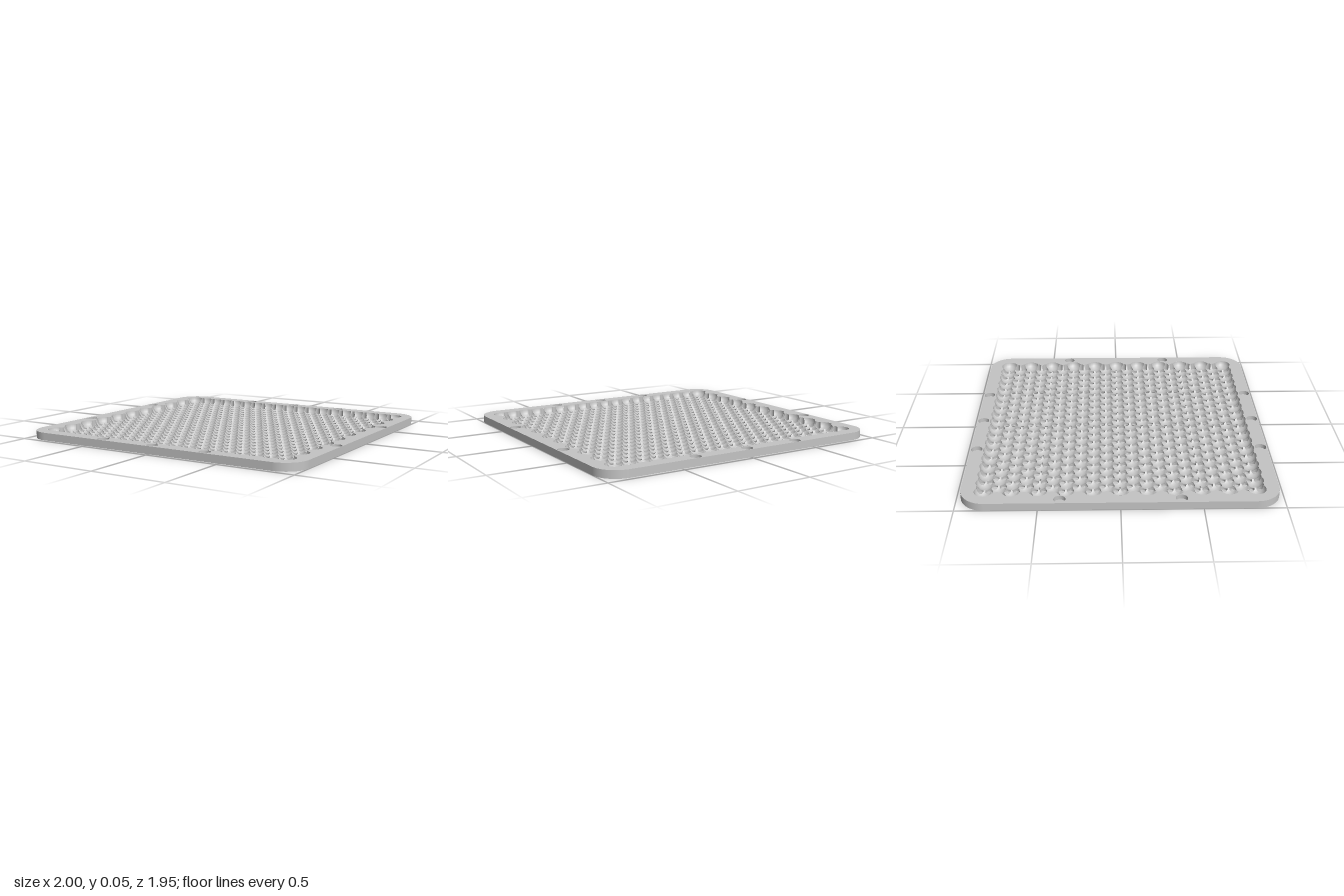
import * as THREE from 'three';

// Plate and lattice sizes
const HX = 1, HZ = 0.976, TOP = 0.05, CORNER = 0.155;
const PITCH = 0.0963, ROW = PITCH * Math.sqrt(3) / 2;
const RIM = 0.0585, DRAIN = 0.01, HOLE = 0.0225;
const CY = 0.0582, R = Math.hypot(CY, DRAIN); // dimple sphere
const POCKET = 0.037, POCKET_DEPTH = 0.028;
const dishY = d => CY - Math.sqrt(R * R - d * d);

// Collects quads, turning each to face along its normals
class Surface {
  constructor() { this.p = []; this.n = []; }
  tri(v, n) {
    const [a, b, c] = v.map(q => new THREE.Vector3(...q));
    const f = b.sub(a).cross(c.sub(a));
    const s = f.dot(new THREE.Vector3(...n[0])) < 0 ? [0, 2, 1] : [0, 1, 2];
    for (const i of s) { this.p.push(...v[i]); this.n.push(...n[i]); }
  }
  quad(v, n) {
    this.tri([v[0], v[1], v[2]], [n[0], n[1], n[2]]);
    this.tri([v[0], v[2], v[3]], [n[0], n[2], n[3]]);
  }
  // vertical wall along the segment a-b, from height y0 up to each end's own height
  wall(a, b, y0, ya, yb, na, nb) {
    this.quad([[a[0], y0, a[1]], [b[0], y0, b[1]], [b[0], yb, b[1]], [a[0], ya, a[1]]], [na, nb, nb, na]);
  }
  mesh(name, material) {
    const g = new THREE.BufferGeometry();
    g.setAttribute('position', new THREE.Float32BufferAttribute(this.p, 3));
    g.setAttribute('normal', new THREE.Float32BufferAttribute(this.n, 3));
    const m = new THREE.Mesh(g, material);
    m.name = name;
    return m;
  }
}

// Unit horizontal normal from p towards the centre c
function towards(p, c) {
  const x = c[0] - p[0], z = c[1] - p[1], l = Math.hypot(x, z) || 1;
  return [x / l, 0, z / l];
}

// Staggered dimples, with through holes between them
function lattice() {
  const pits = [], holes = [];
  for (let i = -10; i <= 10; i++) {
    const odd = Math.abs(i) % 2, n = 19 - odd, m = 18 + odd, z = i * ROW;
    for (let k = 0; k < n; k++) pits.push([(k - (n - 1) / 2) * PITCH, z]);
    for (let k = 0; k < m; k++)
      for (const s of [-1, 1]) holes.push([(k - (m - 1) / 2) * PITCH, z + s * ROW / 3]);
  }
  return { pits, holes };
}

// Distance from a dimple's centre to its edge in one direction
function reach(pit, a, nearPits, nearHoles) {
  const ux = Math.cos(a), uz = Math.sin(a);
  let d = RIM, hole = null;
  for (const q of nearPits) {
    const x = q[0] - pit[0], z = q[1] - pit[1], dot = x * ux + z * uz;
    if (dot > 1e-6) d = Math.min(d, (x * x + z * z) / 2 / dot);
  }
  for (const h of nearHoles) {
    const x = h[0] - pit[0], z = h[1] - pit[1];
    const along = x * ux + z * uz, off = x * uz - z * ux;
    if (along <= 0 || Math.abs(off) >= HOLE) continue;
    const e = along - Math.sqrt(HOLE * HOLE - off * off);
    if (e < d) { d = e; hole = h; }
  }
  return { a, d, hole };
}

// Ray directions round a dimple; edge dimples get a pair of rays at each hole's tangent
const SPAN = PITCH / Math.sqrt(3), DEG = Math.PI / 180;
const TANGENT = Math.asin(HOLE / SPAN) / DEG;
const RIDGE = 30 - Math.atan((SPAN / 2 - HOLE) / (PITCH / 2)) / DEG;
function rayAngles(offsets) {
  const list = [];
  for (let k = 0; k < 6; k++)
    for (const o of [...offsets.map(v => -v), 0, ...offsets.slice().reverse()]) list.push((30 + k * 60 + o) * DEG);
  return list;
}
const INNER_RAYS = rayAngles([RIDGE, 17.5]);
const EDGE_RAYS = rayAngles([TANGENT + 0.05, TANGENT - 0.02, 17.5]);

// A quarter of the frame's inner outline: the outer envelope of dimples and holes
function innerQuarter(pits, holes) {
  const circles = [...pits.map(c => [c, RIM, null]), ...holes.map(c => [c, HOLE, c])];
  const envelope = (t, axis) => {
    let v = -1, hole = null;
    for (const [c, r, h] of circles) {
      const o = t - c[1 - axis];
      if (Math.abs(o) > r) continue;
      const e = c[axis] + Math.sqrt(r * r - o * o);
      if (e > v) { v = e; hole = h; }
    }
    return { p: axis ? [t, v] : [v, t], hole };
  };
  const xc = 9 * PITCH, zc = 10 * ROW, N = 240, side = [], end = [];
  for (let i = 0; i < N; i++) {
    side.push(envelope(zc * i / N, 0));
    end.push(envelope(xc * (1 - (i + 1) / N), 1));
  }
  const arc = [];
  for (let i = 0; i <= 10; i++) {
    const a = Math.PI / 2 * i / 10;
    arc.push({ p: [xc + RIM * Math.cos(a), zc + RIM * Math.sin(a)], hole: null });
  }
  // split at the middle of the corner
  return { side: [...side, ...arc.slice(0, 6)], end: [...arc.slice(5), ...end] };
}

export function createModel() {
  const group = new THREE.Group();
  group.name = 'perforatedPlate';
  const grey = new THREE.MeshStandardMaterial({ color: 0xc4c4c4 });
  grey.name = 'grey';
  const { pits, holes } = lattice();
  const up = [0, 1, 0], down = [0, -1, 0];

  // Dimples, the hole walls around them and the underside below them
  const dimples = new Surface(), walls = new Surface(), under = new Surface();
  const bands = [0, 0.45, 0.78, 1];
  for (const pit of pits) {
    const near = (list, d) => list.filter(q => q !== pit && Math.hypot(q[0] - pit[0], q[1] - pit[1]) < d);
    const np = near(pits, 0.11), nh = near(holes, 0.09);
    const normal = q => [(pit[0] - q[0]) / R, (CY - q[1]) / R, (pit[1] - q[2]) / R];
    const ring = (r, t) => {
      const d = DRAIN + (r.d - DRAIN) * t;
      return [pit[0] + Math.cos(r.a) * d, dishY(d), pit[1] + Math.sin(r.a) * d];
    };
    const rays = (np.length < 6 ? EDGE_RAYS : INNER_RAYS).map(a => reach(pit, a, np, nh));
    rays.forEach((r0, i) => {
      const r1 = rays[(i + 1) % rays.length];
      for (let b = 0; b < 3; b++) {
        const v = [ring(r0, bands[b]), ring(r1, bands[b]), ring(r1, bands[b + 1]), ring(r0, bands[b + 1])];
        dimples.quad(v, v.map(normal));
      }
      const flat = [ring(r0, 0), ring(r1, 0), ring(r1, 1), ring(r0, 1)];
      under.quad(flat.map(q => [q[0], 0, q[2]]), [down, down, down, down]);
      const hole = r0.hole || r1.hole;
      if (hole) {
        const a = [flat[3][0], flat[3][2]], b = [flat[2][0], flat[2][2]];
        walls.wall(a, b, 0, flat[3][1], flat[2][1], towards(a, hole), towards(b, hole));
      }
    });
  }

  // Hole walls cut into the frame
  const quarter = innerQuarter(pits, holes);
  const flip = (q, sx, sz) => [q[0] * sx, q[1] * sz];
  for (const sx of [-1, 1]) for (const sz of [-1, 1])
    for (const run of [quarter.side, quarter.end])
      run.slice(1).forEach((q, i) => {
        const hole = run[i].hole || q.hole;
        if (!hole) return;
        const [a, b, c] = [run[i].p, q.p, hole].map(v => flip(v, sx, sz));
        walls.wall(a, b, 0, TOP, TOP, towards(a, c), towards(b, c));
      });
  group.add(dimples.mesh('dimples', grey), walls.mesh('holeWalls', grey), under.mesh('dimpleUnderside', grey));

  // Rounded outer edge
  const corner = [];
  for (let i = 0; i <= 16; i++) {
    const a = i / 16 * Math.PI / 2, c = Math.cos(a), s = Math.sin(a);
    corner.push({ p: [HX - CORNER + c * CORNER, HZ - CORNER + s * CORNER], n: [c, s] });
  }
  const rim = [{ p: [HX, 0], n: [1, 0] }, ...corner, { p: [0, HZ], n: [0, 1] }];
  const edge = new Surface();
  for (const sx of [-1, 1]) for (const sz of [-1, 1])
    rim.slice(1).forEach((q, i) => {
      const [na, nb] = [rim[i], q].map(o => [o.n[0] * sx, 0, o.n[1] * sz]);
      edge.wall(flip(rim[i].p, sx, sz), flip(q.p, sx, sz), 0, TOP, TOP, na, nb);
    });
  group.add(edge.mesh('outerEdge', grey));

  // Round pockets along the four sides
  const pockets = new Surface(), floor = TOP - POCKET_DEPTH;
  const circle = c => Array.from({ length: 32 }, (_, i) => {
    const a = i / 32 * Math.PI * 2;
    return [c[0] + POCKET * Math.cos(a), c[1] + POCKET * Math.sin(a)];
  });
  const sideCentres = [-1, 0, 1].map(k => [HX - 0.041, k * 0.368]);
  const endCentres = [-1, 0, 1].map(k => [k * 0.38, HZ - 0.041]);
  for (const s of [-1, 1])
    for (const c of [...sideCentres, ...endCentres].map(v => flip(v, s, s))) {
      const pts = circle(c);
      pts.forEach((a, i) => {
        const b = pts[(i + 1) % 32];
        pockets.wall(a, b, floor, TOP, TOP, towards(a, c), towards(b, c));
        pockets.tri([[c[0], floor, c[1]], [a[0], floor, a[1]], [b[0], floor, b[1]]], [up, up, up]);
      });
    }
  group.add(pockets.mesh('sidePockets', grey));

  // Flat frame faces above and below, in four strips mitred at the corners
  const top = new Surface(), bottom = new Surface();
  const vec = list => list.map(q => new THREE.Vector2(...q));
  const strip = (outer, inner, cuts, surface, y, n) => {
    const shape = vec([...outer, ...inner.reverse()]), gaps = cuts.map(c => vec(circle(c)));
    const pts = [shape, ...gaps].flat();
    for (const f of THREE.ShapeUtils.triangulateShape(shape, gaps))
      for (const s of [-1, 1])
        surface.tri(f.map(i => [pts[i].x * s, y, pts[i].y * s]), [n, n, n]);
  };
  const both = (list, sx, sz) => [...list.map(q => flip(q, sx, sz)).reverse(), ...list.slice(1)];
  const sideRim = corner.slice(0, 9).map(o => o.p), endRim = corner.slice(8).map(o => o.p).reverse();
  const sideIn = quarter.side.map(o => o.p), endIn = quarter.end.map(o => o.p).reverse();
  for (const [surface, y, n, cut] of [[top, TOP, up, true], [bottom, 0, down, false]]) {
    strip(both([[HX, 0], ...sideRim], 1, -1), both(sideIn, 1, -1), cut ? sideCentres : [], surface, y, n);
    strip(both([[0, HZ], ...endRim], -1, 1), both(endIn, -1, 1), cut ? endCentres : [], surface, y, n);
  }
  group.add(top.mesh('frameTop', grey), bottom.mesh('frameUnderside', grey));
  return group;
}
